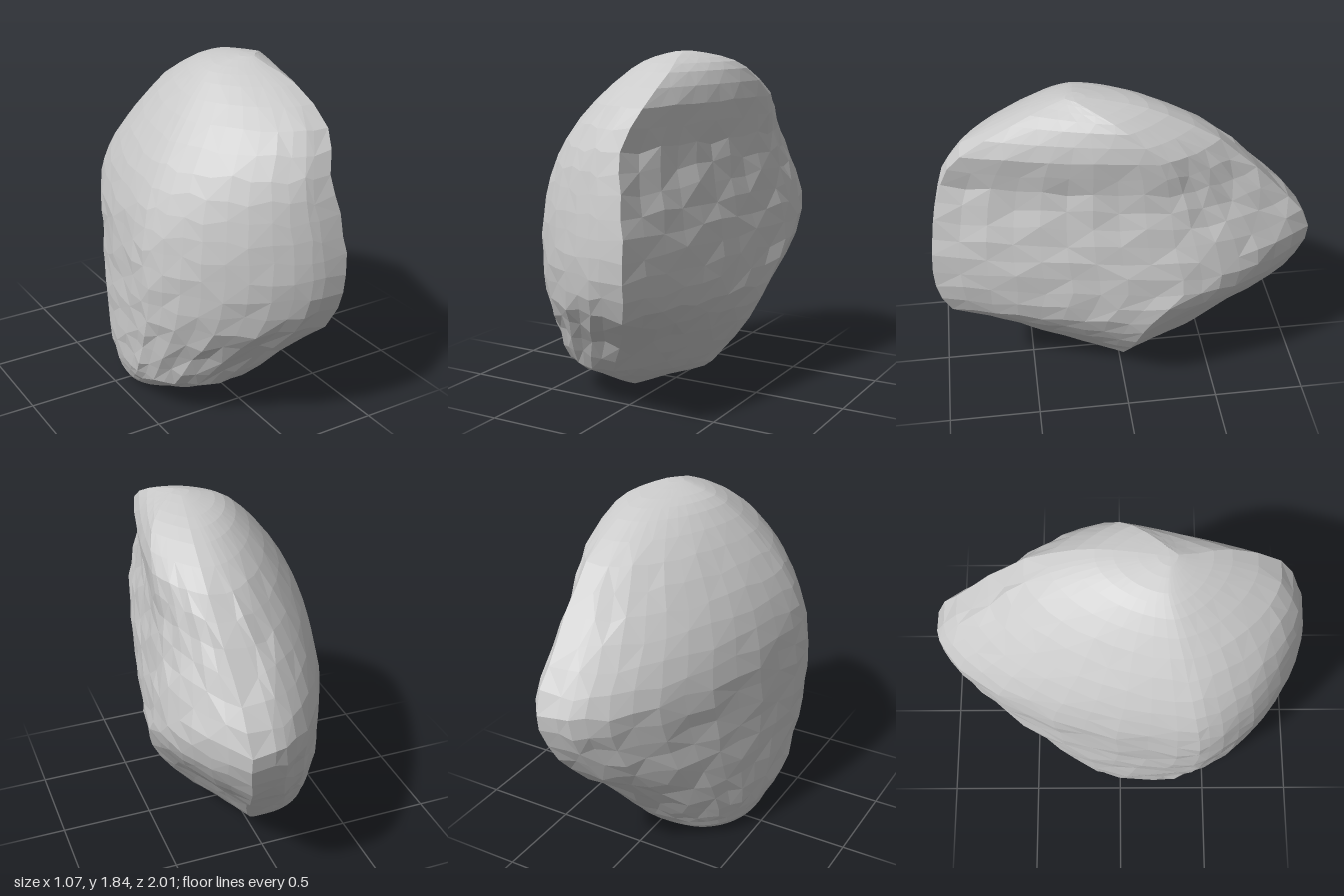
import * as THREE from 'three';

// Horizontal sections, bottom to top:
// y | front edge x, z | flat-face ridge x, z | rear bulge x | back tip x, z | rounded side x, z
const SECTIONS = [
  [0.00, -0.15, 0.20, -0.08, 0.00, -0.11, -0.16, -0.15, -0.36, 0.04],
  [0.04, -0.12, 0.28, 0.02, 0.00, -0.03, -0.07, -0.30, -0.43, 0.06],
  [0.10, -0.09, 0.40, 0.18, 0.00, 0.09, 0.02, -0.37, -0.46, 0.10],
  [0.20, -0.04, 0.59, 0.28, -0.02, 0.17, 0.07, -0.45, -0.50, 0.20],
  [0.40, 0.10, 0.74, 0.43, -0.05, 0.27, 0.14, -0.62, -0.52, 0.30],
  [0.60, 0.24, 0.93, 0.51, -0.12, 0.39, 0.20, -0.83, -0.535, 0.38],
  [0.80, 0.28, 1.00, 0.53, -0.28, 0.46, 0.25, -0.95, -0.54, 0.42],
  [1.00, 0.28, 1.00, 0.51, -0.25, 0.47, 0.27, -1.00, -0.53, 0.42],
  [1.20, 0.25, 0.97, 0.48, -0.22, 0.43, 0.27, -0.87, -0.49, 0.40],
  [1.40, 0.22, 0.92, 0.46, -0.20, 0.40, 0.28, -0.68, -0.40, 0.36],
  [1.60, 0.28, 0.81, 0.47, -0.15, 0.41, 0.29, -0.48, -0.25, 0.31],
  [1.75, 0.27, 0.55, 0.42, 0.00, 0.36, 0.27, -0.22, -0.10, 0.26],
  [1.81, 0.22, 0.38, 0.34, 0.12, 0.30, 0.24, -0.03, 0.01, 0.23],
  [1.84, 0.20, 0.28, 0.24, 0.23, 0.22, 0.20, 0.18, 0.14, 0.24],
];
const LEVELS = 26;
const { lerp, clamp, smoothstep } = THREE.MathUtils;

// Smooth blend between neighbouring sections
function sectionAt(t) {
  const last = SECTIONS.length - 1;
  const i = Math.min(Math.floor(t), last - 1), f = t - i;
  const row = (k) => SECTIONS[clamp(k, 0, last)];
  return SECTIONS[0].map((_, c) => {
    const [a, b, d, e] = [row(i - 1)[c], row(i)[c], row(i + 1)[c], row(i + 2)[c]];
    return b + 0.5 * f * (d - a + f * (2 * a - 5 * b + 4 * d - e + f * (3 * (b - d) + e - a)));
  });
}

// Closed outline of one section, as [x, z]
function outline([y, fx, fz, rx, rz, mx, bx, bz, lx, lz]) {
  const points = [];
  const noseX = lerp(lx, fx, 0.84), tailX = lerp(lx, bx, 0.84);
  // The base is fuller than the body
  const fullness = lerp(2.1, 1.65, smoothstep(y, 0.2, 0.8));
  const quarter = (t, cx, endZ, power) => {
    const a = (t * Math.PI) / 2, e = 2 / power;
    return [cx - (cx - lx) * Math.max(0, Math.cos(a)) ** e, lz + (endZ - lz) * Math.sin(a) ** e];
  };
  // Rounded side to the front
  for (let i = 0; i < 10; i++) points.push(quarter(i / 10, noseX, fz, fullness - 0.1));
  // Blunt nose up to the sharp front edge
  points.push([noseX, fz]);
  // Broken flat face
  for (let i = 0; i < 9; i++) {
    const t = i / 9;
    points.push([lerp(fx, rx, t) + 0.1 * t * (1 - t) * Math.min(1, fz - rz), lerp(fz, rz, t)]);
  }
  // Rear bulge behind the ridge
  const cx = 2 * mx - (rx + bx) / 2;
  for (let i = 0; i < 7; i++) {
    const t = i / 7;
    points.push([(1 - t) ** 2 * rx + 2 * t * (1 - t) * cx + t * t * bx, lerp(rz, bz, t)]);
  }
  // Blunt back tip, then round to the rounded side
  points.push([bx, bz]);
  for (let i = 12; i > 0; i--) points.push(quarter(i / 12, tailX, bz, fullness));
  return points;
}

export function createModel() {
  const group = new THREE.Group();
  const positions = [], index = [];
  let n = 0;
  for (let j = 0; j <= LEVELS; j++) {
    const section = sectionAt((j / LEVELS) * (SECTIONS.length - 1));
    const ring = outline(section);
    n = ring.length;
    // Slight facet roughness, fading out at base and crown
    const amount = 0.009 * clamp(Math.min(j - 4, LEVELS - 5 - j) / 3, 0, 1);
    ring.forEach(([x, z], i) => {
      const rough = amount * Math.sin(i * 2.3 + j * 1.7) * Math.sin(i * 0.9 - j * 2.1);
      positions.push(x + rough, section[0] + 2 * rough, z);
    });
  }
  for (let j = 0; j < LEVELS; j++) {
    for (let i = 0; i < n; i++) {
      const a = j * n + i, b = j * n + ((i + 1) % n);
      if ((i + j) % 2) index.push(a, b, b + n, a, b + n, a + n);
      else index.push(a, b, a + n, b, b + n, a + n);
    }
  }
  // Close the base and the crown
  const base = positions.length / 3, top = LEVELS * n;
  positions.push(-0.21, 0, 0.03, 0.19, 1.842, 0.24);
  for (let i = 0; i < n; i++) {
    const k = (i + 1) % n;
    index.push(k, i, base, top + i, top + k, base + 1);
  }
  const geometry = new THREE.BufferGeometry();
  geometry.setAttribute('position', new THREE.Float32BufferAttribute(positions, 3));
  geometry.setIndex(index);
  geometry.computeVertexNormals();
  const boulder = new THREE.Mesh(geometry, new THREE.MeshStandardMaterial({ color: 0xcccccc, flatShading: true }));
  boulder.name = 'boulder';
  group.add(boulder);
  return group;
}
